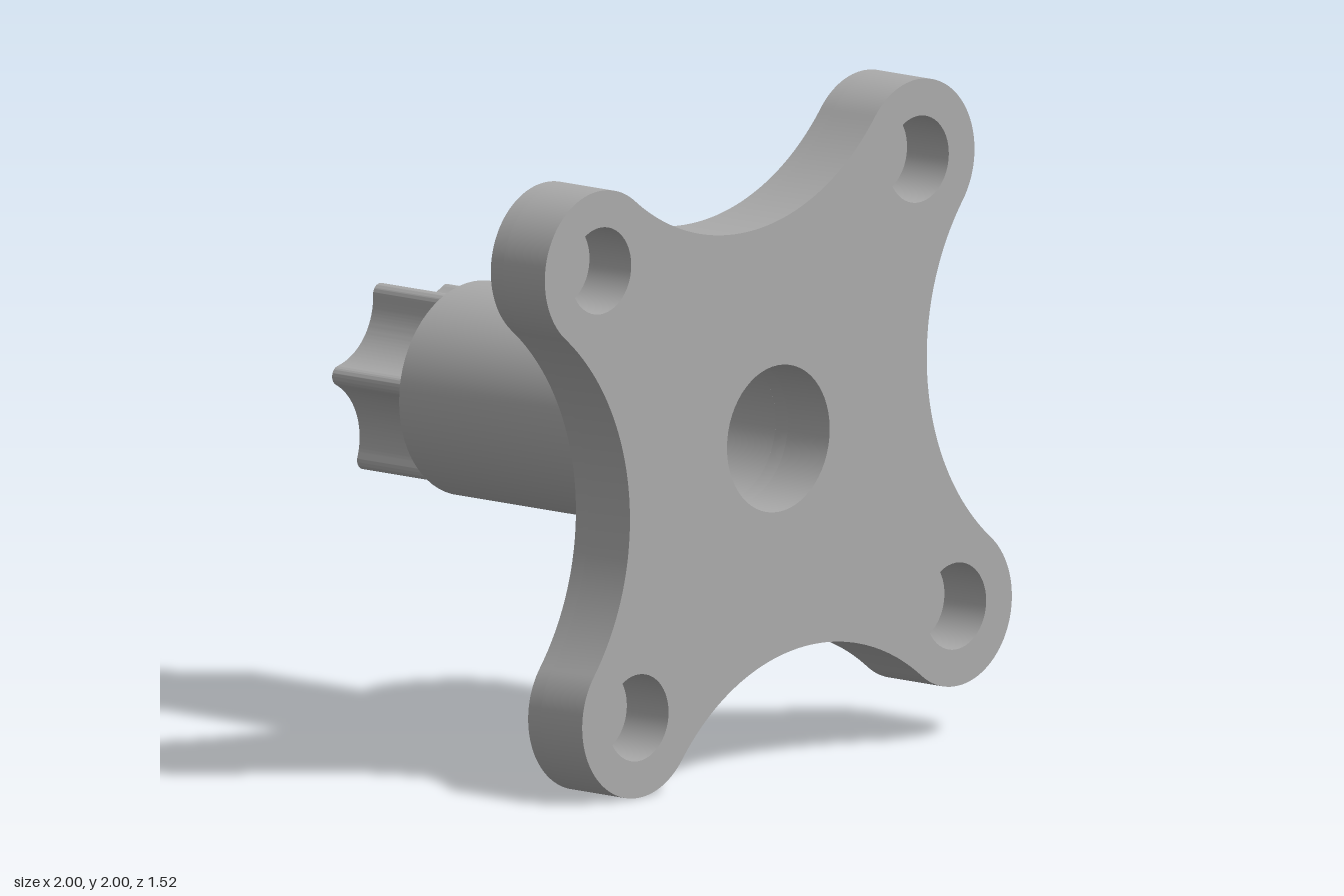
import * as THREE from 'three';
import { toCreasedNormals } from 'three/addons/utils/BufferGeometryUtils.js';

// Rounded star: n tip arcs joined by tangent concave scallops.
function starShape(n, tipDist, tipRadius, inner, phase) {
  const h = Math.PI / n;
  const a = inner - tipDist * Math.cos(h), b = tipDist * Math.sin(h);
  const R = (tipRadius ** 2 - b * b - a * a) / (2 * (a - tipRadius));
  const D = R + inner;
  const shape = new THREE.Shape();
  for (let i = 0; i < n; i++) {
    const t = phase + i * 2 * h;
    const px = tipDist * Math.cos(t), py = tipDist * Math.sin(t);
    const cx = D * Math.cos(t + h), cy = D * Math.sin(t + h);
    const beta = Math.atan2(cy - py, cx - px);
    shape.absarc(px, py, tipRadius, 2 * t - beta, beta, false);
    shape.absarc(cx, cy, R, beta + Math.PI, 2 * (t + h) - beta - Math.PI, true);
  }
  return shape;
}

function addHole(shape, x, y, r) {
  const hole = new THREE.Path();
  hole.absarc(x, y, r, 0, Math.PI * 2, true);
  shape.holes.push(hole);
}

export function createModel() {
  const group = new THREE.Group();
  const metal = new THREE.MeshStandardMaterial({ color: 0xaaaaaa });

  const add = (name, geometry, z = 0) => {
    const mesh = new THREE.Mesh(toCreasedNormals(geometry, 0.6), metal);
    mesh.name = name;
    mesh.position.set(0, 1, z);
    group.add(mesh);
  };
  const extrude = (shape, depth) =>
    new THREE.ExtrudeGeometry(shape, { depth, bevelEnabled: false, curveSegments: 28 });

  // Four-armed flange: pierced front layer over a back layer closing the bolt holes
  const armDist = Math.hypot(0.6, 0.76), armAngle = Math.atan2(0.76, 0.6);
  const bore = 0.22;
  const flange = () => {
    const s = starShape(4, armDist, 0.24, 0.645, armAngle);
    addHole(s, 0, 0, bore);
    return s;
  };
  const front = flange();
  for (let i = 0; i < 4; i++) {
    const t = armAngle + i * Math.PI / 2;
    addHole(front, armDist * Math.cos(t), armDist * Math.sin(t), 0.13);
  }
  add('flangeFront', extrude(front, 0.17), 0.59);
  add('flangeBack', extrude(flange(), 0.05), 0.54);

  // Hollow shaft with a fillet flaring into the flange and a blind bore
  const profile = [new THREE.Vector2(0, -0.48), new THREE.Vector2(0.32, -0.48)];
  for (let i = 0; i <= 12; i++) {
    const t = (i / 12) * Math.PI / 2;
    profile.push(new THREE.Vector2(0.56 - 0.24 * Math.cos(t), 0.3 + 0.24 * Math.sin(t)));
  }
  profile.push(new THREE.Vector2(bore, 0.54), new THREE.Vector2(bore, -0.3), new THREE.Vector2(0, -0.3));
  add('shaft', new THREE.LatheGeometry(profile, 64).rotateX(Math.PI / 2));

  // Six-lobed drive end
  add('driveEnd', extrude(starShape(6, 0.285, 0.03, 0.225, -8 * Math.PI / 180), 0.28), -0.76);

  return group;
}
